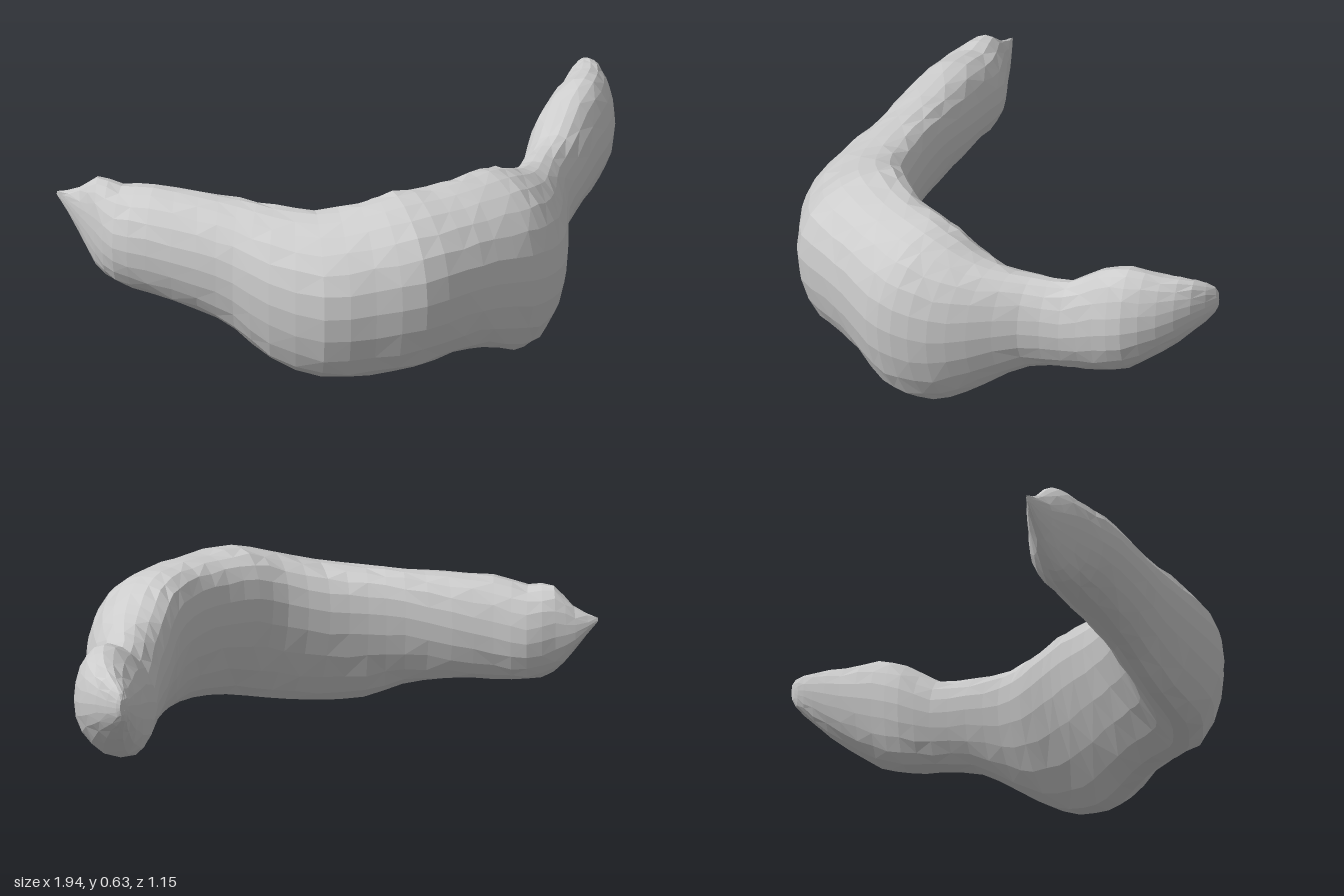
import * as THREE from 'three';

// Cross-sections from the right tip to the left tip:
// inner edge x, z, outer edge x, z, lowest y, highest y
const SECTIONS = [
  [-1.0, -0.46, -0.99, -0.44, 0.42, 0.44],
  [-0.93, -0.43, -0.96, -0.35, 0.31, 0.47],
  [-0.87, -0.4, -0.945, -0.25, 0.22, 0.53],
  [-0.78, -0.36, -0.92, -0.15, 0.185, 0.52],
  [-0.7, -0.28, -0.84, -0.05, 0.17, 0.54],
  [-0.6, -0.18, -0.71, 0.09, 0.15, 0.54],
  [-0.49, -0.06, -0.62, 0.19, 0.11, 0.54],
  [-0.4, 0.03, -0.54, 0.32, 0.04, 0.54],
  [-0.3, 0.11, -0.4, 0.48, 0.012, 0.545],
  [-0.18, 0.18, -0.24, 0.55, 0.025, 0.58],
  [-0.08, 0.2, -0.08, 0.605, 0.05, 0.615],
  [0.03, 0.21, 0.08, 0.575, 0.07, 0.615],
  [0.14, 0.195, 0.2, 0.545, 0.06, 0.618],
  [0.24, 0.15, 0.34, 0.51, 0.01, 0.618],
  [0.3, 0.11, 0.43, 0.455, 0.0, 0.6],
  [0.36, 0.055, 0.51, 0.355, 0.02, 0.56],
  [0.42, 0.0, 0.565, 0.235, 0.085, 0.53],
  [0.49, -0.09, 0.63, 0.075, 0.165, 0.515],
  [0.56, -0.19, 0.72, -0.04, 0.185, 0.525],
  [0.62, -0.28, 0.81, -0.125, 0.2, 0.6],
  [0.69, -0.35, 0.89, -0.2, 0.24, 0.635],
  [0.77, -0.43, 0.935, -0.31, 0.32, 0.62],
  [0.84, -0.5, 0.945, -0.43, 0.405, 0.605],
  [0.88, -0.535, 0.925, -0.53, 0.47, 0.57],
  [0.9, -0.543, 0.912, -0.543, 0.51, 0.54],
];
const SIDES = 20;
const RINGS = 2 * (SECTIONS.length - 1) + 1;
const { lerp, smoothstep } = THREE.MathUtils;

// Smooth guide through one pair of section values
const guide = (k) => new THREE.SplineCurve(SECTIONS.map((s) => new THREE.Vector2(s[k], s[k + 1])));

function loftCrescent() {
  const pos = [];
  const index = [];
  const [innerEdge, outerEdge, heights] = [guide(0), guide(2), guide(4)];
  for (let i = 0; i < RINGS; i++) {
    const inner = innerEdge.getPoint(i / (RINGS - 1));
    const outer = outerEdge.getPoint(i / (RINGS - 1));
    const { x: low, y: high } = heights.getPoint(i / (RINGS - 1));
    // the crest moves from the inner side to the outer side on the left arm
    const leftArm = smoothstep(inner.x, 0.2, 0.6);
    // the belly overhangs on its inner side
    const belly = smoothstep(inner.x, -0.8, -0.35) * (1 - leftArm);
    for (let j = 0; j < SIDES; j++) {
      const t = (j / SIDES) * Math.PI * 2;
      const skew = 1 + Math.sin(t) * lerp(0.12, -0.25, leftArm);
      const u = Math.pow(0.5 - 0.5 * Math.cos(t), skew);
      const v = 0.5 + 0.5 * Math.sin(t + 0.26 * belly * (1 + Math.cos(t)));
      // gentle hand-shaped unevenness
      const bump = 0.008 * Math.sin(i * 2.3 + j * 4.1) * Math.sin(t) * Math.cos(t);
      pos.push(
        inner.x + (outer.x - inner.x) * u,
        low + (high - low) * v + bump,
        inner.y + (outer.y - inner.y) * u,
      );
    }
  }
  const at = (i, j) => i * SIDES + (j % SIDES);
  for (let i = 0; i < RINGS - 1; i++) {
    for (let j = 0; j < SIDES; j++) {
      const a = at(i, j), b = at(i, j + 1), c = at(i + 1, j + 1), d = at(i + 1, j);
      if ((i + j) % 2) index.push(a, b, d, b, c, d);
      else index.push(a, b, c, a, c, d);
    }
  }
  // closed tips
  for (let j = 1; j < SIDES - 1; j++) {
    index.push(at(0, 0), at(0, j + 1), at(0, j));
    index.push(at(RINGS - 1, 0), at(RINGS - 1, j), at(RINGS - 1, j + 1));
  }
  const geometry = new THREE.BufferGeometry();
  geometry.setAttribute('position', new THREE.Float32BufferAttribute(pos, 3));
  geometry.setIndex(index);
  geometry.computeVertexNormals();
  return geometry;
}

export function createModel() {
  const group = new THREE.Group();
  group.name = 'crescent';
  const grey = new THREE.MeshStandardMaterial({ color: 0xcccccc, flatShading: true });
  grey.name = 'light grey';
  const body = new THREE.Mesh(loftCrescent(), grey);
  body.name = 'crescentBody';
  group.add(body);
  return group;
}
